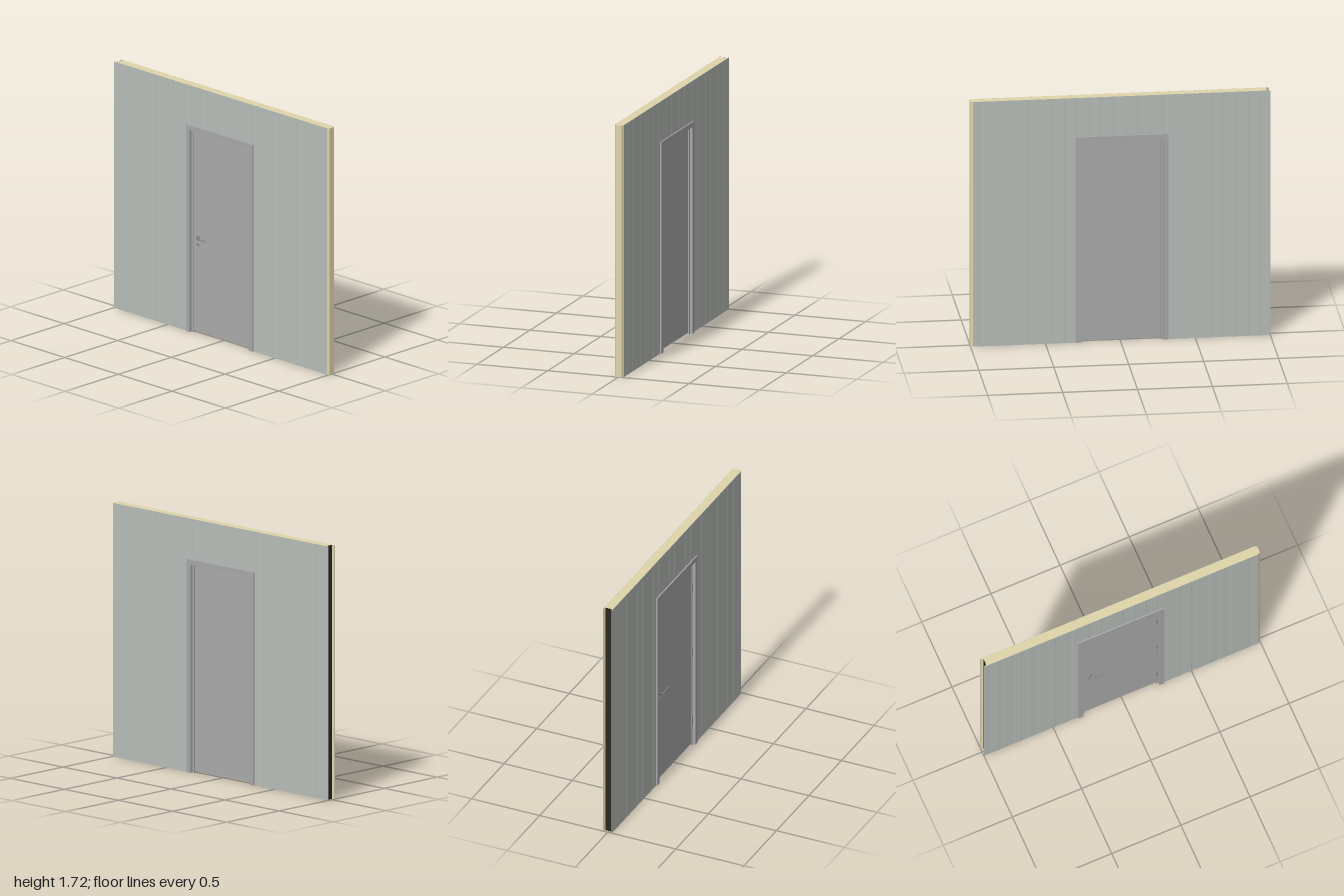
import * as THREE from 'three';

const H = 1.72, ZB = -0.034, ZF = 0.03, SKIN = 0.002;
const HOLE = { x0: -0.3, x1: 0.28, top: 1.43 };
const SEAMS = [-0.32, 0.335];

const mat = (color, side = THREE.FrontSide) => new THREE.MeshStandardMaterial({ color, side });
const skinMat = mat(0xb9beb9);
const foamMat = mat(0xe0d5aa);
const frameMat = mat(0xaaa9aa);
const leafMat = mat(0xacabac);
const metalMat = mat(0x8a8a8a);
const darkMat = mat(0x2a2824);

function add(parent, name, geometry, material, x = 0, y = 0, z = 0) {
  const m = new THREE.Mesh(geometry, material);
  m.name = name;
  m.position.set(x, y, z);
  parent.add(m);
  return m;
}

// Box given by its limits on each axis
function block(parent, name, material, x0, x1, y0, y1, z0, z1) {
  return add(parent, name, new THREE.BoxGeometry(x1 - x0, y1 - y0, z1 - z0), material,
    (x0 + x1) / 2, (y0 + y1) / 2, (z0 + z1) / 2);
}

// Plan outline of [x, z] points raised from y0 to y1
function prism(parent, name, material, points, y0, y1) {
  const shape = new THREE.Shape(points.map(([x, z]) => new THREE.Vector2(x, -z)));
  const geo = new THREE.ExtrudeGeometry(shape, { depth: y1 - y0, bevelEnabled: false });
  geo.rotateX(-Math.PI / 2);
  return add(parent, name, geo, material, 0, y0, 0);
}

// Metal sheet with very shallow vertical ribs; dir is +1 for front, -1 for back
function sheet(parent, name, x0, x1, y0, y1, dir) {
  const face = dir > 0 ? ZF : ZB, inner = face - dir * SKIN, pitch = 0.655 / 8;
  const pts = [[x0, inner], [x0, face]];
  for (let i = -4; i < 21; i++) {
    const a = SEAMS[0] + (i - 4) * pitch + 0.002, b = a + pitch / 2;
    if (a - 0.004 < x0 || b + 0.004 > x1) continue;
    pts.push([a, face], [a + 0.003, face - dir * 0.0008], [b - 0.003, face - dir * 0.0008], [b, face]);
  }
  pts.push([x1, face], [x1, inner]);
  prism(parent, name, skinMat, pts, y0, y1);
}

// One stretch of wall: foam core between two sheets
function wallSection(parent, name, x0, x1, y0, y1, sheetX0 = x0, sheetX1 = x1) {
  const g = new THREE.Group();
  g.name = name;
  parent.add(g);
  const cuts = [x0, ...SEAMS.filter(s => s > x0 && s < x1), x1];
  for (let i = 0; i < cuts.length - 1; i++) {
    const a = cuts[i] + (i ? 0.001 : 0), b = cuts[i + 1] - (i < cuts.length - 2 ? 0.001 : 0);
    block(g, 'foamCore', foamMat, a, b, y0, y1, ZB + SKIN, ZF - SKIN);
  }
  sheet(g, 'frontSheet', sheetX0, sheetX1, y0, y1, 1);
  sheet(g, 'backSheet', sheetX0, sheetX1, y0, y1, -1);
}

// Three-sided door surround, open at the floor
function surround(parent, name, x0, x1, top, w, wTop, z0, z1) {
  const s = new THREE.Shape();
  [[x0, 0], [x0 + w, 0], [x0 + w, top - wTop], [x1 - w, top - wTop], [x1 - w, 0], [x1, 0], [x1, top], [x0, top]]
    .forEach(([x, y], i) => (i ? s.lineTo(x, y) : s.moveTo(x, y)));
  const geo = new THREE.ExtrudeGeometry(s, { depth: z1 - z0, bevelEnabled: false });
  add(parent, name, geo, frameMat, 0, 0, z0);
}

export function createModel() {
  const root = new THREE.Group();
  root.name = 'wallWithDoor';

  // Wall around the door opening
  const wall = new THREE.Group();
  wall.name = 'wall';
  root.add(wall);
  wallSection(wall, 'wallRight', -0.98, HOLE.x0, 0, HOLE.top, -1);
  wallSection(wall, 'wallLeft', HOLE.x1, 0.98, 0, HOLE.top, HOLE.x1, 0.985);
  wallSection(wall, 'wallAbove', -0.98, 0.98, HOLE.top, H, -1, 0.985);

  // Tongue on one end, groove on the other
  prism(wall, 'tongue', foamMat, [[0.979, ZB + SKIN], [0.979, ZF - SKIN], [0.985, ZF - SKIN],
    [1, ZF - 0.011], [1, ZB + 0.011], [0.985, ZB + SKIN]], 0, H);
  block(wall, 'grooveFloor', darkMat, -0.981, -0.979, 0, H, ZB + SKIN, ZF - SKIN);
  for (const [z, d] of [[ZF - SKIN, -1], [ZB + SKIN, 1]])
    prism(wall, 'grooveLip', foamMat, [[-0.997, z], [-0.98, z], [-0.98, z + d * 0.008]], 0, H);

  // Door surround: outer casing and set-back jamb
  const frame = new THREE.Group();
  frame.name = 'doorFrame';
  root.add(frame);
  surround(frame, 'frontCasing', -0.32, 0.3, 1.445, 0.035, 0.033, ZF, 0.039);
  surround(frame, 'backCasing', -0.32, 0.3, 1.445, 0.035, 0.033, -0.043, ZB);
  surround(frame, 'lining', -0.3, 0.28, 1.43, 0.015, 0.018, ZB, ZF);
  surround(frame, 'jamb', -0.287, 0.267, 1.414, 0.017, 0.009, -0.024, 0.02);

  // Door leaf with a gap at the floor
  const door = new THREE.Group();
  door.name = 'door';
  root.add(door);
  block(door, 'leaf', leafMat, -0.269, 0.249, 0.011, 1.404, -0.018, 0.014);

  // Hinges
  for (const y of [0.19, 0.72, 1.215])
    for (const dy of [-0.018, 0.018])
      add(door, 'hinge', new THREE.CylinderGeometry(0.005, 0.005, 0.033, 12), metalMat, 0.252, y + dy, 0.021);

  // Lever handle with rose, and lock cover below
  const disc = (name, r, depth, y, z) =>
    add(door, name, new THREE.CylinderGeometry(r, r, depth, 24), metalMat, -0.23, y, z).rotateX(Math.PI / 2);
  disc('handleRose', 0.016, 0.006, 0.665, 0.017);
  disc('lockCover', 0.01, 0.006, 0.62, 0.017);
  disc('lockCylinder', 0.004, 0.004, 0.62, 0.021);
  const path = new THREE.CurvePath();
  const v = (x, z) => new THREE.Vector3(x, 0.666, z);
  path.add(new THREE.LineCurve3(v(-0.23, 0.015), v(-0.23, 0.031)));
  path.add(new THREE.QuadraticBezierCurve3(v(-0.23, 0.031), v(-0.23, 0.0385), v(-0.222, 0.0385)));
  path.add(new THREE.LineCurve3(v(-0.222, 0.0385), v(-0.137, 0.0385)));
  add(door, 'handleLever', new THREE.TubeGeometry(path, 40, 0.0045, 12), metalMat);
  add(door, 'handleTip', new THREE.SphereGeometry(0.0045, 12, 8), metalMat, -0.137, 0.666, 0.0385);

  return root;
}
